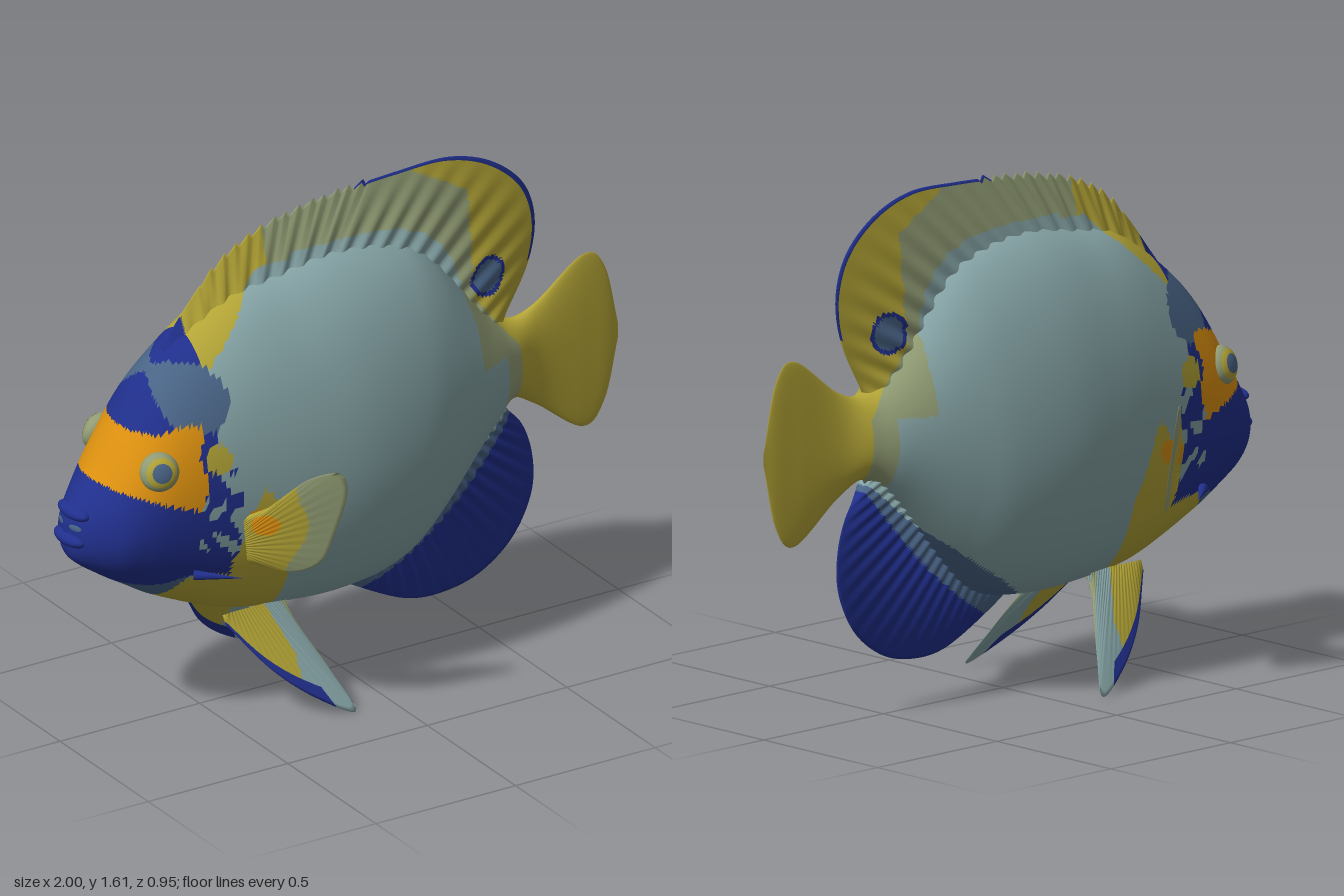
import * as THREE from 'three';

const COLORS = {
  greyTeal: 0x85a3a5, oliveGrey: 0x919c74, mustard: 0xb3a436, navy: 0x202f8c,
  slateBlue: 0x496486, orange: 0xdc900f,
};
const NAMES = Object.keys(COLORS);
const mats = NAMES.map((name) => {
  const m = new THREE.MeshStandardMaterial({ color: COLORS[name], side: THREE.DoubleSide });
  m.name = name;
  return m;
});
const mat = (name) => mats[NAMES.indexOf(name)];
const near = (x, y, cx, cy, r) => Math.hypot(x - cx, y - cy) < r;

// Face markings: eye band, forehead, mottled cheek and muzzle
function faceColor(x, y) {
  const wave = .012 * Math.sin(38 * y + 20 * x);
  if (x < -.62 + wave && y > .62 - .27 * x + wave && y < 1.035 + wave) return 'orange';
  if (near(x, y, -.57, .935, .045)) return 'mustard';
  if (y > 1 && near(x, y, -.615, 1.115, .1)) return 'slateBlue';
  if (y > 1 && y < 1.25 && x < -.6) return 'navy';
  if (x < -.57 && y > .86) return 'navy';
  if (x < -.51 + wave && y < .9 && y > .535 + wave) {
    const mottle = Math.sin(75 * x + 3 * Math.sin(28 * y)) + Math.sin(58 * y + 20 * x);
    return x > -.64 && y > .6 && mottle > .5 ? 'greyTeal' : 'navy';
  }
  if (y < .55 && x < -.66 - .6 * (.54 - y)) return x < -.85 ? 'navy' : 'slateBlue';
  return null;
}

// Blue and slate sweep of the lower rear
function analColor(x, y) {
  if (x > 0 && y < .22 + .35 * x + .8 * x * x) return 'navy';
  return x > 0 && y < .31 + .55 * x + .3 * x * x ? 'slateBlue' : 'greyTeal';
}

// Flank, back, tail and belly
function skinColor(x, y) {
  const face = x < -.5 && faceColor(x, y);
  if (face) return face;
  if (near(x, y, .51, 1.2, .066)) return near(x, y, .51, 1.2, .052) ? 'slateBlue' : 'navy';
  if (y > .95 && x > .45 - 1.8 * Math.max(0, y - 1.5) + .8 * Math.max(0, 1.15 - y)) return 'mustard';
  if (x > .54) return x > .61 ? 'mustard' : 'oliveGrey';
  const arch = Math.abs((x + .08) / .5) ** 3.5 + Math.abs((y - .9) / .56) ** 3.5;
  if (y > .95 && (x < -.2 ? y > Math.min(1.44, 1.75 + x) : arch > 1)) return x < -.28 ? 'mustard' : 'oliveGrey';
  if (near(x, y, -.455, .715, .035)) return 'orange';
  if (x < -.32 && y < .54 + .27 * Math.exp(-(((x + .42) / .075) ** 2))) return 'mustard';
  return analColor(x, y);
}

// Grid surface whose cells are sorted into one geometry group per colour.
function paintedGrid(name, nu, nv, point, color, flip = false, wrap = false) {
  const pos = [], cols = wrap ? nv : nv + 1;
  for (let i = 0; i <= nu; i++) for (let j = 0; j < cols; j++) pos.push(...point(i / nu, j / nv));
  const lists = mats.map(() => []);
  const add = (a, b, c, u, v) => {
    const x = (pos[a * 3] + pos[b * 3] + pos[c * 3]) / 3;
    const y = (pos[a * 3 + 1] + pos[b * 3 + 1] + pos[c * 3 + 1]) / 3;
    lists[NAMES.indexOf(color(x, y, u, v))].push(...(flip ? [a, c, b] : [a, b, c]));
  };
  for (let i = 0; i < nu; i++) for (let j = 0; j < nv; j++) {
    const k = (j + 1) % cols, u = (i + .5) / nu, v = (j + .5) / nv;
    const a = i * cols + j, b = a + cols, c = (i + 1) * cols + k, d = i * cols + k;
    add(a, b, c, u, v);
    add(a, c, d, u, v);
  }
  const g = new THREE.BufferGeometry();
  g.setAttribute('position', new THREE.Float32BufferAttribute(pos, 3));
  g.setIndex(lists.flat());
  let start = 0;
  lists.forEach((l, m) => { if (l.length) g.addGroup(start, l.length, m); start += l.length; });
  g.computeVertexNormals();
  const mesh = new THREE.Mesh(g, mats);
  mesh.name = name;
  return mesh;
}

// Fin: two skins between a base curve and a tip curve, thinning to the edge.
// The fin lies in the plane z = plane(x, y).
function fin(name, base, tip, plane, normal, thick, color, { side = 1, nu = 70, nv = 20, teeth = () => 0 } = {}) {
  const [cb, ct] = [base, tip].map((pts) =>
    new THREE.CatmullRomCurve3(pts.map(([x, y]) => new THREE.Vector3(x, y, plane(x, y)))));
  const point = (u, v) => {
    const s = 1 - Math.abs(1 - 2 * v), sign = v <= .5 ? 1 : -1;
    const p = cb.getPointAt(u), t = ct.getPointAt(u);
    t.y += teeth(t.x);
    p.lerp(t, s);
    const w = sign * thick * (1 - s) * (1 + .12 * Math.sin(u * 130));
    return [p.x + normal[0] * w, p.y + normal[1] * w, (p.z + normal[2] * w) * side];
  };
  return paintedGrid(name, nu, nv * 2, point,
    (x, y, u, v) => color(x, y, u, 1 - Math.abs(1 - 2 * v)), side < 0);
}

// Body stations: x, top, bottom, half width (the last ones form the tail fin)
const STATIONS = [
  [-.985, .73, .67, 0], [-.96, .79, .61, .075], [-.88, .89, .55, .155], [-.8, 1.02, .5, .195],
  [-.68, 1.19, .43, .223], [-.45, 1.36, .335, .255], [-.25, 1.41, .307, .278], [-.05, 1.435, .3, .285],
  [.15, 1.41, .335, .26], [.3, 1.33, .45, .215], [.5, 1.09, .68, .135], [.6, 1.02, .755, .08],
  [.7, 1.045, .71, .037], [.87, 1.165, .59, .018], [.95, 1.11, .66, .01], [1, .9, .86, 0],
];
function makeBody() {
  const spline = (f) => new THREE.CatmullRomCurve3(STATIONS.map(f), false, 'catmullrom');
  const outline = spline(([x, top, bottom]) => new THREE.Vector3(x, top, bottom));
  const width = spline((s) => new THREE.Vector3(s[3], 0, 0));
  return paintedGrid('body', 260, 120, (u, v) => {
    const { x, y: top, z: bottom } = outline.getPoint(u), w = Math.max(0, width.getPoint(u).x);
    const a = -v * Math.PI * 2, c = Math.cos(a), s = Math.sin(a);
    const mid = bottom + .45 * (top - bottom);
    const z = w * Math.sign(s) * Math.abs(s) ** (c < 0 ? .88 : 1.06);
    return [x, mid + c * (c > 0 ? top - mid : mid - bottom), z];
  }, skinColor, false, true);
}

function ball(name, material, r, center, scale, theta = Math.PI) {
  const m = new THREE.Mesh(new THREE.SphereGeometry(r, 28, 16, 0, Math.PI * 2, 0, theta).rotateX(Math.PI / 2), mat(material));
  m.name = name;
  m.position.set(...center);
  m.scale.set(...scale);
  return m;
}

function makeEye(side) {
  const eye = new THREE.Group();
  eye.name = side > 0 ? 'leftEye' : 'rightEye';
  const center = [0, 0, 0], flat = [1, 1, .65];
  eye.add(ball('eyeball', 'oliveGrey', .062, center, flat),
    ball('iris', 'mustard', .063, center, flat, .85),
    ball('pupil', 'slateBlue', .0645, center, flat, .5));
  eye.position.set(-.752, .92, .172 * side);
  eye.quaternion.setFromUnitVectors(new THREE.Vector3(0, 0, 1), new THREE.Vector3(-.3, .25, .92 * side).normalize());
  return eye;
}

export function createModel() {
  const fish = new THREE.Group();
  fish.name = 'fish';
  fish.add(makeBody());

  // Median fins
  const upright = () => 0;
  fish.add(fin('dorsalFin',
    [[-.64, 1.17], [-.4, 1.31], [-.1, 1.37], [.2, 1.32], [.4, 1.13], [.55, .95]],
    [[-.64, 1.24], [-.48, 1.43], [-.35, 1.52], [-.2, 1.57], [0, 1.6], [.2, 1.615], [.4, 1.615],
      [.55, 1.56], [.66, 1.46], [.7, 1.34], [.68, 1.2], [.57, .99]],
    upright, [0, 0, 1], .06,
    (x, y, u, s) => (s > .95 && x > .05 && y > 1.2 ? 'navy' : skinColor(x, y)),
    { nu: 200, nv: 26, teeth: (x) => (x > -.5 && x < .1 ? .024 * (((x + .5) * 22) % 1) - .01 : 0) }));
  fish.add(fin('analFin',
    [[.56, .8], [.45, .7], [.3, .53], [-.02, .35]],
    [[.58, .735], [.65, .66], [.69, .55], [.69, .42], [.62, .28], [.5, .19], [.37, .16], [.25, .17], [.06, .26], [-.02, .31]],
    upright, [0, 0, 1], .06, analColor, { nu: 150, nv: 26 }));

  // Mouth
  fish.add(ball('upperLip', 'navy', 1, [-.95, .772, 0], [.034, .024, .075]),
    ball('lowerLip', 'navy', 1, [-.962, .688, 0], [.038, .026, .075]),
    ball('mouthLining', 'slateBlue', 1, [-.95, .73, 0], [.03, .03, .07]));

  for (const side of [1, -1]) {
    const label = side > 0 ? 'left' : 'right';
    fish.add(makeEye(side));
    fish.add(fin(label + 'PectoralFin',
      [[-.5, .73], [-.48, .59]],
      [[-.49, .745], [-.42, .8], [-.37, .88], [-.29, .915], [-.27, .87], [-.285, .7], [-.31, .59], [-.37, .55], [-.47, .57]],
      (x, y) => .235 + .85 * (x + .49) + .2 * (y - .6), [-.64, -.15, .75], .014,
      (x, y) => {
        if (near(x, y, -.455, .715, .035)) return 'orange';
        return x < -.37 + .02 * Math.sin(20 * y) ? 'mustard' : 'oliveGrey';
      }, { side }));
    fish.add(fin(label + 'PelvicFin',
      [[-.47, .34], [-.26, .34]],
      [[-.48, .315], [-.37, .17], [-.25, .07], [-.13, .01], [-.17, .12], [-.26, .31]],
      (x, y) => .11 + .62 * (.32 - y), [0, -.53, -.85], .018,
      (x, y, u, s) => {
        if (u < .5 && s > .82) return 'navy';
        if (x < -.28 && x + .4 * y < -.2) return 'mustard';
        return x - .5 * (.34 - y) > -.28 ? 'oliveGrey' : 'greyTeal';
      }, { side }));
    // Cheek spine
    const spine = new THREE.Mesh(new THREE.ConeGeometry(.016, .15, 10), mat('navy'));
    spine.name = label + 'CheekSpine';
    spine.position.set(-.59, .558, .25 * side);
    spine.quaternion.setFromUnitVectors(new THREE.Vector3(0, 1, 0), new THREE.Vector3(.75, 0, .66 * side).normalize());
    fish.add(spine);
  }
  return fish;
}
